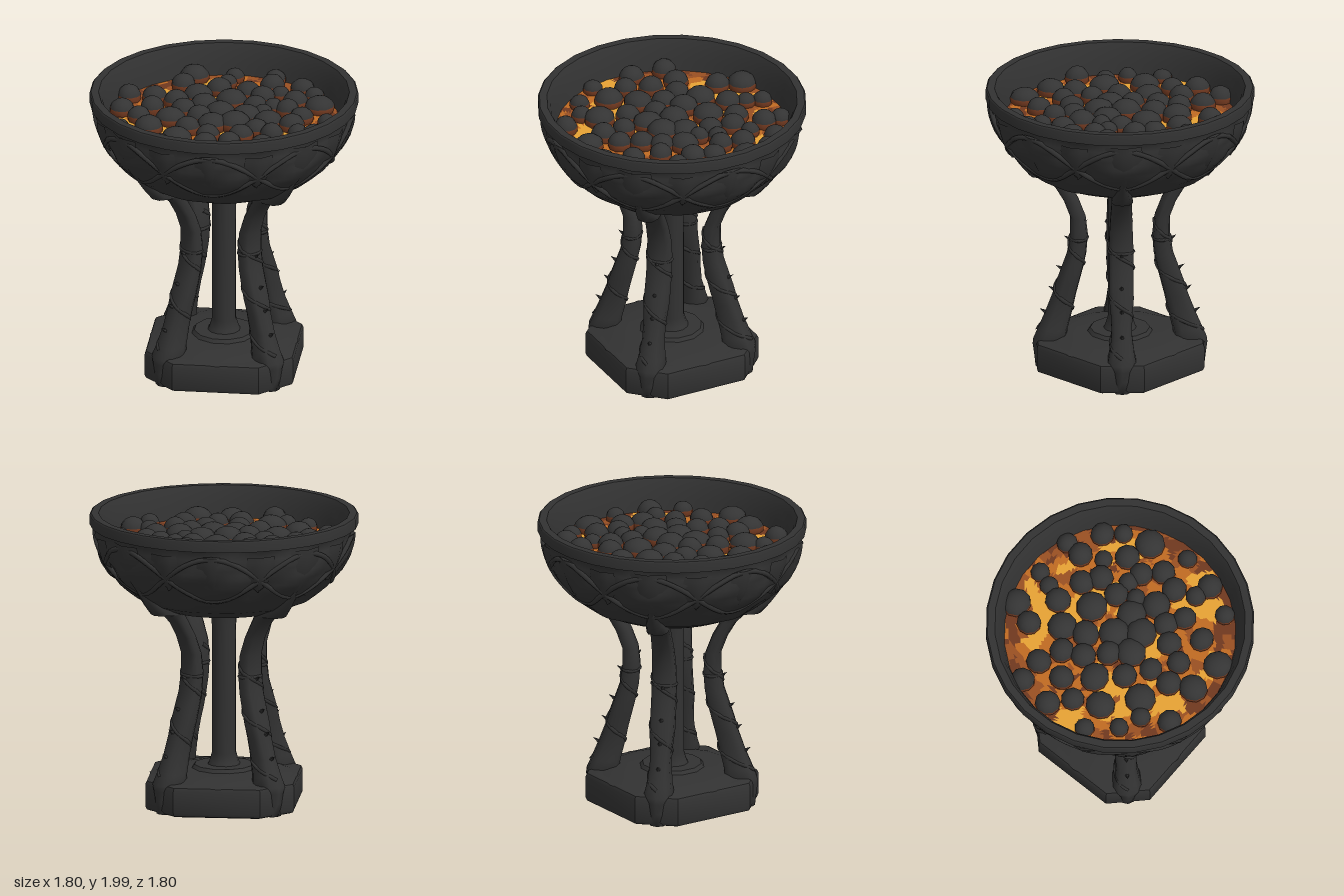
import * as THREE from 'three';
import { mergeVertices, toCreasedNormals } from 'three/addons/utils/BufferGeometryUtils.js';

const mat = (name, color) => new THREE.MeshStandardMaterial({ name, color });
const V2 = (a) => a.map(([x, y]) => new THREE.Vector2(x, y));

function seeded(seed) {
  return () => {
    seed = (seed * 16807) % 2147483647;
    return seed / 2147483647;
  };
}

// Loft through closed rings, bottom to top; each row is [y, inner, outer, halfWidth]
function loftLeg(rows, sides = 10) {
  const pos = [], index = [];
  for (const [y, a, b, w] of rows) {
    for (let j = 0; j < sides; j++) {
      const t = (j / sides) * Math.PI * 2, c = Math.cos(t), s = Math.sin(t);
      const sq = (v) => Math.sign(v) * Math.pow(Math.abs(v), 0.75);
      pos.push((a + b) / 2 + sq(c) * (b - a) / 2, y, sq(s) * w);
    }
  }
  for (let i = 0; i < rows.length - 1; i++) {
    for (let j = 0; j < sides; j++) {
      const p = i * sides + j, q = i * sides + (j + 1) % sides;
      index.push(p, p + sides, q, q, p + sides, q + sides);
    }
  }
  for (let j = 1; j < sides - 1; j++) index.push(0, j, j + 1);
  const g = new THREE.BufferGeometry();
  g.setAttribute('position', new THREE.Float32BufferAttribute(pos, 3));
  g.setIndex(index);
  g.computeVertexNormals();
  return g;
}

// Bowl outer radius at a given height
const BOWL = [[0.02, 1.32], [0.2, 1.32], [0.44, 1.375], [0.6, 1.44], [0.7, 1.53], [0.78, 1.63], [0.83, 1.72], [0.86, 1.82], [0.87, 1.93]];
function bowlRadius(y) {
  for (let i = 1; i < BOWL.length; i++) {
    const [r0, y0] = BOWL[i - 1], [r1, y1] = BOWL[i];
    if (y <= y1 && y1 > y0) return r0 + (r1 - r0) * (y - y0) / (y1 - y0);
  }
  return 0.87;
}

export function createModel() {
  const model = new THREE.Group();
  const iron = mat('dark iron', 0x323232);
  const coalMat = mat('charcoal', 0x343434);
  const emberMats = [mat('dull ember', 0x70381f), mat('rust ember', 0x9a5022),
    mat('orange ember', 0xc06a22), mat('bright ember', 0xe6a234)];
  const add = (name, geo, m = iron, parent = model) => {
    const mesh = new THREE.Mesh(geo, m);
    mesh.name = name;
    parent.add(mesh);
    return mesh;
  };
  const rand = seeded(4127);

  // Base: a block with broad diagonal sides and its corners cut under the legs
  const outline = [];
  for (let i = 0; i < 4; i++) {
    const a = i * Math.PI / 2, c = Math.cos(a), s = Math.sin(a);
    for (const [u, v] of [[0.53, -0.135], [0.53, 0.135]]) outline.push([u * c - v * s, u * s + v * c]);
  }
  const baseGeo = new THREE.ExtrudeGeometry(new THREE.Shape(V2(outline)),
    { depth: 0.15, bevelThickness: 0.03, bevelSize: 0.03, bevelSegments: 2 });
  baseGeo.rotateX(-Math.PI / 2);
  add('base', toCreasedNormals(baseGeo, 0.6)).position.y = 0.04;
  add('baseMound', new THREE.LatheGeometry(V2([[0.5, 0.21], [0.42, 0.235], [0.3, 0.255], [0, 0.26]]), 16));
  add('baseDisc', new THREE.CylinderGeometry(0.2, 0.23, 0.04, 12)).position.y = 0.26;

  // Central column
  add('column', new THREE.LatheGeometry(V2([[0.13, 0.24], [0.1, 0.3], [0.082, 0.36], [0.08, 1.2], [0.09, 1.34]]), 12));

  // Bowl body with embossed leaves
  const profile = [];
  for (let i = 0; i < BOWL.length - 1; i++) {
    for (let k = 0; k < 3; k++) {
      profile.push([0, 1].map((c) => BOWL[i][c] + (BOWL[i + 1][c] - BOWL[i][c]) * k / 3));
    }
  }
  profile.push([0.87, 1.93]);
  const bowl = new THREE.LatheGeometry(V2(profile), 80);
  bowl.deleteAttribute('uv');
  bowl.deleteAttribute('normal');
  const p = bowl.attributes.position;
  for (let i = 0; i < p.count; i++) {
    const x = p.getX(i), y = p.getY(i), z = p.getZ(i);
    const th = Math.atan2(z, x), v = (y - 1.4) / 0.5;
    if (v <= 0 || v >= 1) continue;
    const leaf = Math.abs(Math.cos(4 * th)) * Math.sin(v * Math.PI);
    const lump = Math.sin(12 * th + 7 * v) * Math.sin(9 * v) * 0.4;
    const k = 1 + 0.04 * (leaf + lump - 0.45);
    p.setXYZ(i, x * k, y, z * k);
  }
  const bowlGeo = mergeVertices(bowl, 1e-4);
  bowlGeo.computeVertexNormals();
  add('bowl', bowlGeo);

  // Rim and inner wall
  add('rim', new THREE.LatheGeometry(V2([[0.85, 1.925], [0.9, 1.925], [0.9, 1.925], [0.9, 1.99], [0.89, 2],
    [0.89, 2], [0.84, 2], [0.84, 2], [0.815, 1.95], [0.79, 1.86], [0.77, 1.76]]), 28));

  // Two vines crossing each other around the bowl
  for (const s of [1, -1]) {
    const pts = [];
    for (let i = 0; i < 64; i++) {
      const th = (i / 64) * Math.PI * 2, y = 1.71 + s * 0.16 * Math.cos(4 * th);
      const r = bowlRadius(y);
      pts.push(new THREE.Vector3(Math.cos(th) * r, y, Math.sin(th) * r));
    }
    add('bowlVine', new THREE.TubeGeometry(new THREE.CatmullRomCurve3(pts, true), 128, 0.018, 5, true));
  }

  // Pointed leaf plates: wide at the top, ridged down the middle, following the bowl
  const leafPlate = (w, top, bottom, bulge) => {
    const pos = [], index = [], n = 7;
    for (let i = 0; i <= n; i++) {
      const t = i / n, y = bottom + (top - bottom) * t, half = w * Math.pow(Math.sin(0.12 + t * 1.9), 0.8) * (t ? 1 : 0.1);
      for (let j = -2; j <= 2; j++) {
        const a = (j / 2) * half / 0.85, r = bowlRadius(y) + bulge * (1 - Math.abs(j) / 2) - 0.005;
        pos.push(Math.cos(a) * r, y, Math.sin(a) * r);
      }
    }
    for (let i = 0; i < n; i++) {
      for (let j = 0; j < 4; j++) {
        const q = i * 5 + j;
        index.push(q, q + 5, q + 1, q + 1, q + 5, q + 6);
      }
    }
    const g = new THREE.BufferGeometry();
    g.setAttribute('position', new THREE.Float32BufferAttribute(pos, 3));
    g.setIndex(index);
    g.computeVertexNormals();
    return g;
  };
  const shield = leafPlate(0.13, 1.9, 1.54, 0.03), leaf = leafPlate(0.1, 1.88, 1.62, 0.025);
  for (let i = 0; i < 16; i++) {
    add(i % 4 ? 'bowlLeaf' : 'bowlShield', i % 4 ? leaf : shield).rotation.y = i * Math.PI / 8;
  }

  // Four curved legs, each with a foot, vine, band and thorns
  const legRows = [[0.01, 0.38, 0.565, 0.06], [0.1, 0.38, 0.575, 0.06], [0.17, 0.37, 0.585, 0.07], [0.21, 0.36, 0.58, 0.1],
    [0.28, 0.35, 0.55, 0.085], [0.4, 0.32, 0.5, 0.07], [0.52, 0.295, 0.455, 0.075], [0.62, 0.27, 0.425, 0.085],
    [0.72, 0.245, 0.39, 0.085], [0.82, 0.225, 0.355, 0.085], [0.95, 0.215, 0.335, 0.085], [1.08, 0.23, 0.335, 0.08],
    [1.2, 0.275, 0.38, 0.075], [1.3, 0.33, 0.44, 0.07], [1.37, 0.37, 0.51, 0.07], [1.38, 0.37, 0.61, 0.075],
    [1.45, 0.45, 0.67, 0.065], [1.54, 0.55, 0.735, 0.05], [1.6, 0.65, 0.775, 0.015]];
  const legGeo = loftLeg(legRows);
  const legAt = (y) => {
    const i = Math.max(1, legRows.findIndex((r) => r[0] >= y));
    const a = legRows[i - 1], b = legRows[i], t = (y - a[0]) / (b[0] - a[0]);
    return a.map((v, k) => v + (b[k] - v) * t);
  };
  const vinePts = [];
  for (let i = 0; i <= 40; i++) {
    const t = i / 40, y = 0.26 + t * 0.8, ang = t * Math.PI * 5, [, a, b, w] = legAt(y);
    vinePts.push(new THREE.Vector3((a + b) / 2 + Math.cos(ang) * (b - a) * 0.48, y, Math.sin(ang) * w * 0.95));
  }
  const vineGeo = new THREE.TubeGeometry(new THREE.CatmullRomCurve3(vinePts), 80, 0.014, 5);
  const thornGeo = new THREE.ConeGeometry(0.022, 0.07, 5);
  const bandGeo = new THREE.TorusGeometry(0.075, 0.012, 5, 16);
  const names = ['leftLeg', 'backLeg', 'rightLeg', 'frontLeg'];
  for (let i = 0; i < 4; i++) {
    const leg = new THREE.Group();
    leg.name = names[i];
    leg.rotation.y = i * Math.PI / 2;
    add('legPost', legGeo, iron, leg);
    add('legVine', vineGeo, iron, leg);
    const band = add('legBand', bandGeo, iron, leg);
    band.position.set(0.277, 0.93, 0);
    band.rotation.x = Math.PI / 2;
    band.scale.set(0.8, 1.1, 1);
    for (const y of [0.4, 0.56, 0.71, 0.92]) {
      const thorn = add('thorn', thornGeo, iron, leg);
      thorn.position.set(legAt(y)[2] + 0.008, y, 0);
      thorn.rotation.z = -1;
    }
    model.add(leg);
  }

  // Ember bed: small irregular cells, bright around the hot spots and duller toward the wall
  const hotSpots = [[0.32, -0.53], [-0.04, -0.55], [-0.5, 0], [-0.5, 0.2], [0.22, -0.31], [0.37, 0.54], [0.12, 0.61],
    [0.28, -0.09], [0.63, 0.08], [-0.57, -0.4], [-0.16, 0.21], [-0.36, -0.1], [0.15, 0.46], [0.12, -0.52], [-0.54, 0.3]];
  const cells = [];
  for (let i = 0; i < 520; i++) {
    const r = 0.8 * Math.sqrt(rand()), a = rand() * Math.PI * 2, x = r * Math.cos(a), z = r * Math.sin(a), roll = rand();
    const hot = hotSpots.some(([hx, hz]) => Math.hypot(hx - x, hz - z) < 0.085);
    const level = hot ? 3 : r > 0.66 ? Math.floor(roll * 2.5) : roll < 0.06 ? 0 : roll < 0.3 ? 1 : roll < 0.88 ? 2 : 3;
    cells.push({ x, z, level });
  }
  const bed = new THREE.RingGeometry(0.001, 0.785, 128, 40);
  bed.rotateX(-Math.PI / 2);
  const bp = bed.attributes.position, src = bed.index.array, buckets = [[], [], [], []];
  for (let i = 0; i < src.length; i += 3) {
    const tri = [src[i], src[i + 1], src[i + 2]];
    const cx = tri.reduce((s, k) => s + bp.getX(k), 0) / 3, cz = tri.reduce((s, k) => s + bp.getZ(k), 0) / 3;
    let best = 9, level = 0;
    for (const c of cells) {
      const d = (c.x - cx) ** 2 + (c.z - cz) ** 2;
      if (d < best) { best = d; level = c.level; }
    }
    buckets[level].push(...tri);
  }
  bed.setIndex(buckets.flat());
  bed.clearGroups();
  let start = 0;
  buckets.forEach((b, i) => { bed.addGroup(start, b.length, i); start += b.length; });
  add('emberBed', bed, emberMats).position.y = 1.79;

  // Coals by radius: x, z pairs in hundredths; each has a dark cap over a glowing foot
  const coalSets = [
    [0.102, [-44, 45, -50, -18, 1, -23, -48, 9, -15, 6, 20, -17, 17, 26, 0, -4, 8, -38, -2, 14, -30, -20, 28, -67, -29, 63, 12, 9, 61, 26]],
    [0.084, [-27, -68, -15, -56, -45, -53, -28, -42, -44, -36, 13, -60, 27, -39, -9, -40, -14, -26, 38, -22, 58, -21, 40, -9,
      71, -5, 27, 0, 53, 10, -14, -9, -31, 0, -28, 18, 40, 18, -66, 27, -39, 29, -25, 37, -11, 32, 3, 31, 27, 39, 40, 33,
      6, 44, -10, 54, 27, 63]],
    [0.068, [38, -44, 48, -49, -65, -30, -67, -7, 67, -29, 53, -6, 35, 9, 70, 9, -61, 8, 23, 13, 48, 50, 21, 53, 6, 71]]];
  const capGeo = new THREE.SphereGeometry(1, 10, 5, 0, Math.PI * 2, 0, Math.PI * 0.43);
  const footGeo = new THREE.SphereGeometry(1, 10, 2, 0, Math.PI * 2, Math.PI * 0.43, Math.PI * 0.2);
  for (const [size, spots] of coalSets) {
    for (let i = 0; i < spots.length; i += 2) {
      const x = spots[i] / 100, z = spots[i + 1] / 100, r = size * (0.95 + rand() * 0.1);
      const coal = new THREE.Group();
      coal.name = 'coal';
      add('coalCap', capGeo, coalMat, coal);
      add('coalFoot', footGeo, emberMats[0], coal);
      coal.position.set(x, 1.805 + 0.02 * (1 - Math.hypot(x, z)), z);
      coal.scale.set(r, Math.min(r, 0.085) * (0.9 + rand() * 0.15), r * (0.92 + rand() * 0.12));
      coal.rotation.y = rand() * 6;
      model.add(coal);
    }
  }
  return model;
}
